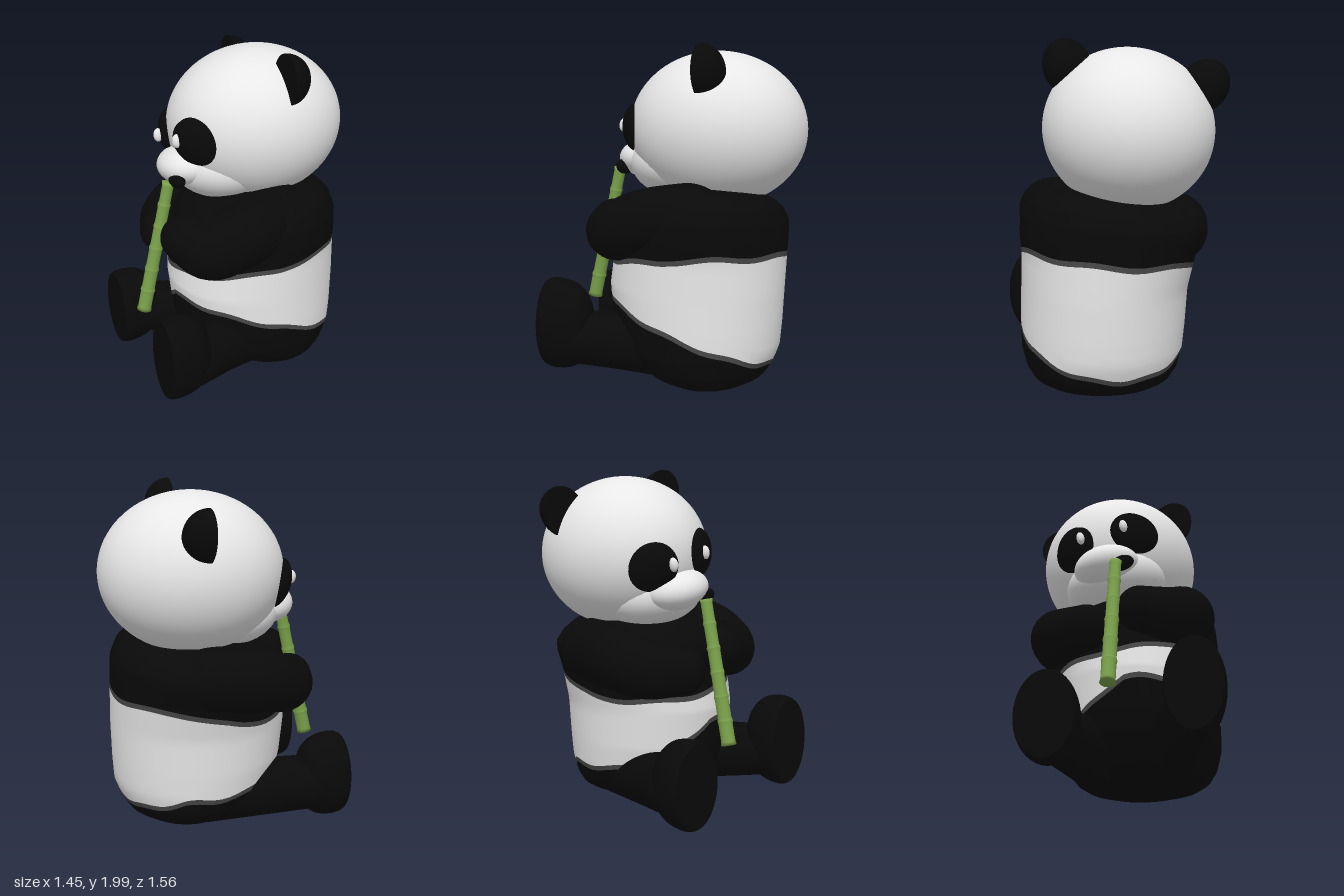
import * as THREE from 'three';
import { mergeGeometries } from 'three/addons/utils/BufferGeometryUtils.js';

const mat = (name, color) => {
  const m = new THREE.MeshStandardMaterial({ color });
  m.name = name;
  return m;
};

export function createModel() {
  const black = mat('blackFur', 0x090909);
  const white = mat('whiteFur', 0xe8e8e8);
  const grey = mat('greyEdge', 0x484848);
  const green = mat('bamboo', 0x79a04a);

  const root = new THREE.Group();
  root.name = 'panda';
  const body = new THREE.Group();
  body.name = 'pandaBody';
  body.rotation.y = -Math.PI / 3; // the animal looks to one side
  root.add(body);

  const add = (parent, name, geo, material, pos = [0, 0, 0], scale = [1, 1, 1]) => {
    const m = new THREE.Mesh(geo, material);
    m.name = name;
    m.position.set(...pos);
    m.scale.set(...scale);
    parent.add(m);
    return m;
  };
  const ball = new THREE.SphereGeometry(1, 40, 28);
  // ear: dome to the rear with a flat front
  const earShape = mergeGeometries([
    new THREE.SphereGeometry(1, 36, 14, 0, Math.PI * 2, 0, Math.PI / 2).rotateX(-Math.PI / 2),
    new THREE.CircleGeometry(1, 36),
  ]);
  // foot: flat sole and a full, rounded heel
  const footRound = new THREE.SplineCurve([[0.94, 0], [0.99, 0.1], [1, 0.3], [0.93, 0.6], [0.72, 0.84], [0.36, 0.97], [0, 1]]
    .map(([r, y]) => new THREE.Vector2(r, y))).getPoints(24);
  const footShape = mergeGeometries([
    new THREE.LatheGeometry(footRound, 40).rotateX(-Math.PI / 2),
    new THREE.CircleGeometry(0.94, 40),
  ]);

  // Torso: rows of height, centre x, centre z, half width, half depth
  const profile = [
    [0.01, 0.02, -0.34, 0.001, 0.001],
    [0.02, 0.02, -0.34, 0.2, 0.14],
    [0.05, 0.02, -0.33, 0.32, 0.25],
    [0.09, 0.02, -0.31, 0.39, 0.34],
    [0.15, 0.02, -0.28, 0.435, 0.41],
    [0.25, 0.02, -0.25, 0.465, 0.48],
    [0.38, 0.015, -0.235, 0.475, 0.505],
    [0.6, 0.005, -0.228, 0.48, 0.52],
    [0.8, -0.02, -0.24, 0.5, 0.51],
    [0.92, -0.035, -0.255, 0.525, 0.495],
    [1.0, -0.04, -0.265, 0.52, 0.48],
    [1.07, -0.04, -0.275, 0.48, 0.44],
    [1.12, -0.04, -0.28, 0.42, 0.38],
    [1.16, -0.04, -0.28, 0.32, 0.29],
    [1.18, -0.04, -0.28, 0.15, 0.15],
  ];
  const at = (y) => {
    let i = 0;
    while (i < profile.length - 2 && profile[i + 1][0] < y) i++;
    const p = profile[i], q = profile[i + 1];
    const t = THREE.MathUtils.clamp((y - p[0]) / (q[0] - p[0]), 0, 1);
    return p.map((v, k) => v + (q[k] - v) * t);
  };
  // one colour band of the torso between two wavy lines; the left shoulder is raised
  const band = (name, material, low, high, rows) => {
    const n = 72, pos = [], idx = [];
    for (let i = 0; i <= rows; i++) {
      for (let j = 0; j < n; j++) {
        const s = Math.sin((j / n) * Math.PI * 2), c = Math.cos((j / n) * Math.PI * 2);
        const y = THREE.MathUtils.lerp(low(s, c), high(s, c), i / rows);
        const [, cx, cz, rx, rz] = at(y);
        const x = cx + rx * s;
        pos.push(x, y + 0.13 * x * THREE.MathUtils.smoothstep(y, 0.87, 1.13), cz + rz * c);
        if (i < rows) {
          const a = i * n + j, b = i * n + ((j + 1) % n);
          idx.push(a, b, a + n, b, b + n, a + n);
        }
      }
    }
    const g = new THREE.BufferGeometry();
    g.setAttribute('position', new THREE.Float32BufferAttribute(pos, 3));
    g.setIndex(idx);
    g.computeVertexNormals();
    add(body, name, g, material);
  };
  const hip = (s, c) => 0.335 + 0.05 * s + 0.18 * c + 0.16 * Math.min(0, s) * Math.max(0, c + 0.4)
    + 0.008 * Math.sin(9 * Math.atan2(s, c));
  const chest = (s, c) => 0.825 + 0.04 * s - THREE.MathUtils.smoothstep(c, -0.6, 0.2) * (0.055 - 0.025 * s)
    - 0.05 * Math.max(0, c) + 0.008 * Math.sin(7 * Math.atan2(s, c));
  band('hips', black, () => 0.01, hip, 28);
  band('hipEdge', grey, hip, (s, c) => hip(s, c) + 0.03, 1);
  band('belly', white, (s, c) => hip(s, c) + 0.03, (s, c) => chest(s, c) - 0.03, 14);
  band('chestEdge', grey, (s, c) => chest(s, c) - 0.03, chest, 1);
  band('shoulders', black, chest, () => 1.18, 28);

  // Limbs: a tube whose radius changes along its path, with round ends
  const limb = (name, points, radii) => {
    const curve = new THREE.CatmullRomCurve3(points.map((p) => new THREE.Vector3(...p)));
    const seg = 28, sides = 28;
    const g = new THREE.TubeGeometry(curve, seg, 1, sides);
    const p = g.attributes.position, v = new THREE.Vector3();
    const radius = (t) => {
      const f = t * (radii.length - 1), i = Math.min(Math.floor(f), radii.length - 2);
      return THREE.MathUtils.lerp(radii[i], radii[i + 1], f - i);
    };
    for (let i = 0; i < p.count; i++) {
      const t = Math.floor(i / (sides + 1)) / seg;
      const c = curve.getPointAt(t);
      v.fromBufferAttribute(p, i).sub(c).multiplyScalar(radius(t)).add(c);
      p.setXYZ(i, v.x, v.y, v.z);
    }
    const group = new THREE.Group();
    group.name = name;
    add(group, 'limb', g, black);
    for (const k of [0, points.length - 1]) {
      add(group, 'roundEnd', ball, black, points[k], [radii[k], radii[k], radii[k]]);
    }
    body.add(group);
  };
  limb('leftArm', [[0.24, 1.03, -0.27], [0.31, 1.0, -0.02], [0.27, 0.925, 0.18], [0.1, 0.945, 0.265]],
    [0.2, 0.19, 0.175, 0.135]);
  limb('rightArm', [[-0.39, 0.93, -0.29], [-0.43, 0.91, -0.01], [-0.37, 0.86, 0.16], [-0.21, 0.85, 0.27]],
    [0.19, 0.185, 0.165, 0.135]);
  limb('leftLeg', [[0.2, 0.25, -0.25], [0.28, 0.275, 0.08], [0.4, 0.3, 0.36]], [0.19, 0.175, 0.155]);
  limb('rightLeg', [[-0.2, 0.2, -0.25], [-0.27, 0.205, 0.08], [-0.36, 0.225, 0.35]], [0.18, 0.17, 0.16]);
  add(body, 'leftFoot', footShape, black, [0.42, 0.38, 0.548], [0.165, 0.27, 0.28]);
  add(body, 'rightFoot', footShape, black, [-0.365, 0.265, 0.535], [0.175, 0.255, 0.27]);

  // Head, tilted to the animal's right
  const head = new THREE.Group();
  head.name = 'head';
  head.position.set(-0.125, 1.5, -0.305);
  head.rotation.set(0, -0.06, 0.17);
  body.add(head);
  const R = [0.48, 0.45, 0.525];
  add(head, 'skull', new THREE.SphereGeometry(1, 64, 44), white, [0, 0, 0], R);
  add(head, 'jaw', ball, white, [0, -0.22, 0.2], [0.32, 0.21, 0.32]);
  add(head, 'snout', ball, white, [-0.005, -0.2, 0.43], [0.2, 0.12, 0.185]);
  add(head, 'mouth', ball, black, [0.1, -0.258, 0.545], [0.078, 0.046, 0.045]);

  // Oval pad swelling out of the skull around each eye
  const patch = (cx, cy, rx, ry) => {
    const g = new THREE.RingGeometry(0.001, 1, 40, 10);
    const p = g.attributes.position;
    for (let i = 0; i < p.count; i++) {
      const u = p.getX(i), v = p.getY(i), x = cx + u * rx, y = cy + v * ry;
      const skull = R[2] * Math.sqrt(1 - (x / R[0]) ** 2 - (y / R[1]) ** 2);
      p.setXYZ(i, x, y, skull + 0.004 + 0.05 * Math.sqrt(Math.max(0, 1 - u * u - v * v)));
    }
    g.computeVertexNormals();
    return g;
  };
  const sides = [
    ['left', 1, [0.2, -0.025], [0.155, -0.015, 0.545], [0.39, 0.283]],
    ['right', -1, [-0.175, -0.035], [-0.11, -0.03, 0.565], [-0.365, 0.305]],
  ];
  for (const [side, s, pad, eye, earAt] of sides) {
    add(head, side + 'EyePatch', patch(...pad, 0.132, 0.14), black);
    add(head, side + 'Eye', ball, white, eye, [0.024, 0.04, 0.028]);
    const ear = add(head, side + 'Ear', earShape, black, [...earAt, -0.03], [0.135, 0.155, 0.14]);
    ear.rotation.z = -s * 0.5;
  }

  // Bamboo stalk with raised joints, from mouth to feet
  const top = new THREE.Vector3(-0.04, 1.25, 0.29), foot = new THREE.Vector3(-0.04, 0.43, 0.474);
  const len = top.distanceTo(foot), joints = 6, outline = [new THREE.Vector2(0, 0)];
  for (let i = 0; i < joints; i++) {
    const r = 0.045 - i * 0.0014, y = (i / joints) * len, h = len / joints;
    outline.push(new THREE.Vector2(r, y), new THREE.Vector2(r - 0.004, y + 0.02),
      new THREE.Vector2(r - 0.004, y + h - 0.02), new THREE.Vector2(r, y + h - 0.002));
  }
  outline.push(new THREE.Vector2(0, len));
  const stalk = add(body, 'bambooStalk', new THREE.LatheGeometry(outline, 20), green, foot.toArray());
  stalk.quaternion.setFromUnitVectors(new THREE.Vector3(0, 1, 0), top.clone().sub(foot).normalize());

  return root;
}
